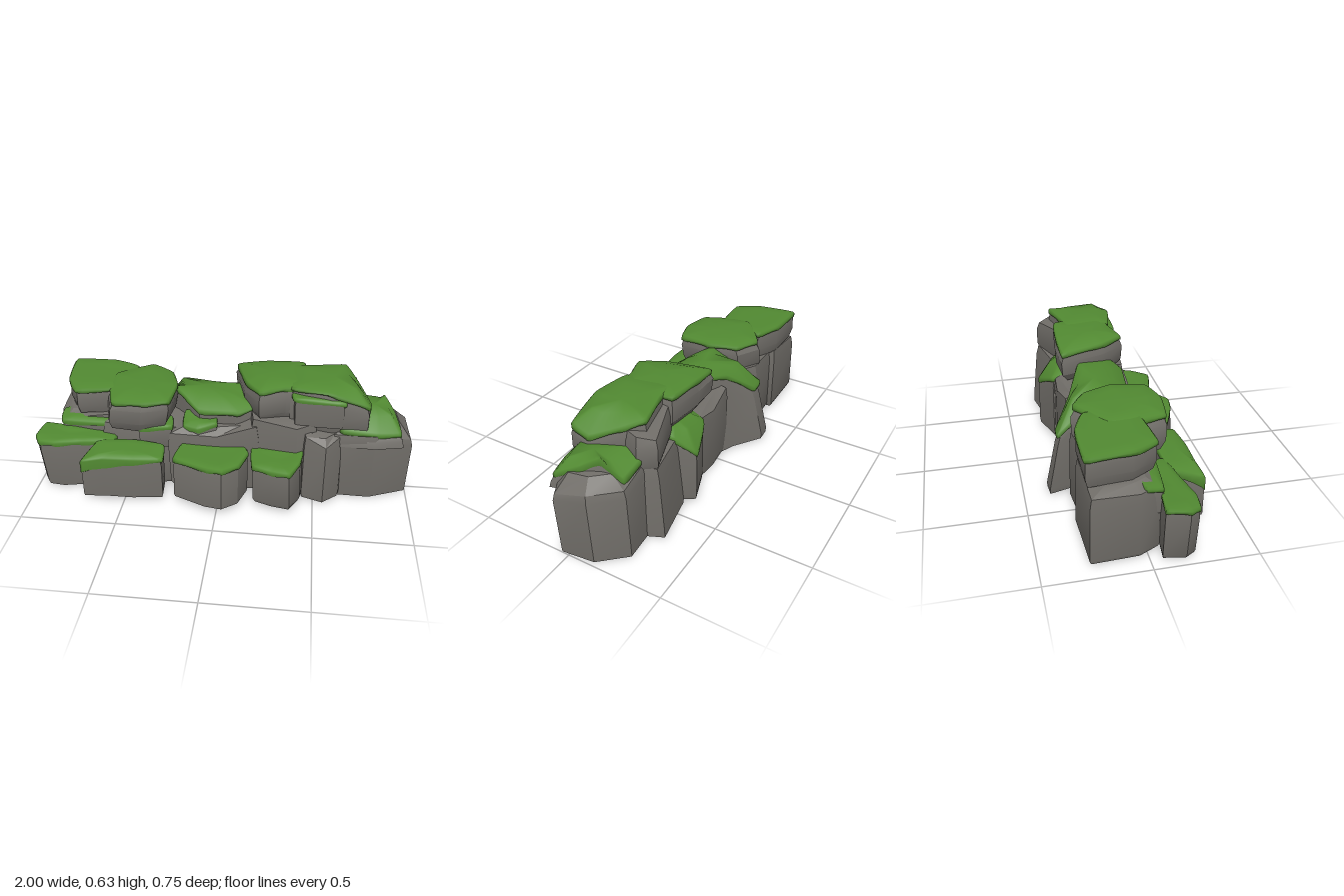
import * as THREE from 'three';
import { toCreasedNormals } from 'three/addons/utils/BufferGeometryUtils.js';

const stone = new THREE.MeshStandardMaterial({ color: 0x716e69 });
stone.name = 'stone grey';
const mossGreen = new THREE.MeshStandardMaterial({ color: 0x528a32 });
mossGreen.name = 'moss green';

const mix = THREE.MathUtils.lerp;

// Skin a stack of loops (bottom to top) and close both ends with fans
function loft(loops, bottom, top) {
  const n = loops[0].length, pos = [], idx = [];
  loops.forEach(l => l.forEach(p => pos.push(...p)));
  pos.push(...bottom, ...top);
  const b = n * loops.length, t = b + 1, last = n * (loops.length - 1);
  for (let i = 0; i < n; i++) {
    const j = (i + 1) % n;
    for (let k = 0; k < loops.length - 1; k++) {
      const o = k * n, u = o + n;
      idx.push(o + i, o + j, u + j, o + i, u + j, u + i);
    }
    idx.push(b, j, i, t, last + i, last + j);
  }
  const geo = new THREE.BufferGeometry();
  geo.setAttribute('position', new THREE.Float32BufferAttribute(pos, 3));
  geo.setIndex(idx);
  geo.computeVertexNormals();
  return geo;
}

// Outline points are [x, z, top height, moss droop]
function boulder(name, outline, y0, opts = {}) {
  const { sections = [[0, 0.93], [0.06, 0.97], [0.82, 1], [1, 0.95]], lean = [0, 0], moss = true } = opts;
  const n = outline.length;
  let area = 0;
  outline.forEach((p, i) => {
    const q = outline[(i + 1) % n];
    area += p[1] * q[0] - p[0] * q[1];
  });
  const pts = area > 0 ? outline : [...outline].reverse();
  const mean = k => pts.reduce((s, p) => s + p[k], 0) / n;
  const cx = mean(0), cz = mean(1), crown = opts.crown ?? mean(2);
  const at = (p, s, y, k = 0) => [cx + (p[0] - cx) * s + lean[0] * k, y, cz + (p[1] - cz) * s + lean[1] * k];

  const group = new THREE.Group();
  group.name = name;

  // Stone body, leaning outwards at its foot
  const loops = sections.map(([t, s]) => pts.map(p => at(p, s, mix(y0, p[2] - 0.014, t), 1 - t)));
  loops.push(pts.map(p => at(p, 0.6, mix(p[2], crown, 0.8) - 0.014)));
  const body = new THREE.Mesh(
    toCreasedNormals(loft(loops, [cx + lean[0], y0, cz + lean[1]], [cx, crown - 0.014, cz]), 0.45), stone);
  body.name = name + 'Stone';
  group.add(body);

  // Soft moss cap with a drooping edge
  if (moss) {
    const curve = new THREE.CatmullRomCurve3(pts.map(p => new THREE.Vector3(p[0], p[2], p[1])), true, 'catmullrom', 0.15);
    const fine = [];
    for (let i = 0; i < n * 5; i++) {
      const v = curve.getPoint(i / (n * 5)), f = (i % 5) / 5;
      const a = pts[Math.floor(i / 5)], c = pts[(Math.floor(i / 5) + 1) % n];
      const droop = mix(a[3] ?? 0.026, c[3] ?? 0.026, f) + 0.004 * Math.sin(i * 1.3);
      fine.push([v.x, v.z, v.y, droop]);
    }
    const rim = [
      fine.map(p => at(p, 0.96, p[2] - p[3])),
      fine.map(p => at(p, 1.02, p[2] - p[3])),
      fine.map(p => at(p, 1.02, p[2] - 0.01)),
      fine.map(p => at(p, 0.97, p[2])),
      fine.map(p => at(p, 0.6, mix(p[2], crown, 0.8))),
    ];
    const cap = new THREE.Mesh(loft(rim, [cx, crown - 0.03, cz], [cx, crown, cz]), mossGreen);
    cap.name = name + 'Moss';
    group.add(cap);
  }
  return group;
}

export function createModel() {
  const model = new THREE.Group();
  model.name = 'mossyRocks';
  const add = (...a) => model.add(boulder(...a));
  const bare = { moss: false };
  const wideFoot = { moss: false, sections: [[0, 0.98], [0.05, 1.02], [0.85, 1], [1, 0.95]] };

  // Low row of stones along the front
  add('frontFarRightRock', [[-0.995, 0.16, 0.3], [-0.975, 0.05, 0.31], [-0.8, 0.07, 0.31], [-0.58, 0.05, 0.3],
    [-0.57, 0.16, 0.29], [-0.74, 0.19, 0.29], [-0.88, 0.22, 0.29], [-0.965, 0.21, 0.29]], 0.01, { lean: [0.02, 0] });
  add('frontRightRock', [[-0.71, 0.32, 0.255, 0.07], [-0.65, 0.16, 0.29], [-0.45, 0.15, 0.295], [-0.3, 0.17, 0.29],
    [-0.29, 0.29, 0.275, 0.02], [-0.45, 0.31, 0.275, 0.04], [-0.6, 0.31, 0.27, 0.065]], 0.03,
  { crown: 0.29, sections: [[0, 0.98], [0.06, 1], [0.85, 1], [1, 0.96]] });
  add('frontMiddleRock', [[-0.23, 0.27, 0.275], [-0.19, 0.1, 0.285], [0.1, 0.1, 0.285], [0.15, 0.18, 0.28],
    [0.11, 0.3, 0.275], [0.03, 0.36, 0.275], [-0.06, 0.345, 0.275]], 0.04,
  { sections: [[0, 0.98], [0.05, 1], [0.85, 1], [1, 0.96]], lean: [0, 0.015] });
  add('frontLeftRock', [[0.18, 0.28, 0.265], [0.17, 0.12, 0.28], [0.43, 0.12, 0.285], [0.42, 0.24, 0.275],
    [0.37, 0.335, 0.262], [0.27, 0.315, 0.26]], 0.035, { lean: [0.01, 0], sections: [[0, 0.93], [0.1, 1.02], [0.8, 1], [1, 0.95]] });

  // Tall base stones, from the right end to the left end
  add('rightBase', [[-0.92, -0.27, 0.37], [-0.62, -0.28, 0.4], [-0.58, 0.06, 0.4], [-0.86, 0.06, 0.36],
    [-0.91, -0.04, 0.36]], 0.01, { ...wideFoot, crown: 0.4 });
  add('rightLedge', [[-0.88, -0.02, 0.37], [-0.62, -0.06, 0.39], [-0.6, 0.09, 0.355], [-0.87, 0.07, 0.345]], 0.2, {});
  add('rightInnerBase', [[-0.66, -0.25, 0.39], [-0.4, -0.27, 0.41], [-0.24, -0.18, 0.41], [-0.2, 0.1, 0.37],
    [-0.4, 0.14, 0.37], [-0.64, 0.1, 0.37]], 0.01, { ...wideFoot, crown: 0.4 });
  add('rightInnerLedge', [[-0.44, 0.06, 0.39], [-0.27, 0.04, 0.39], [-0.26, 0.13, 0.38], [-0.43, 0.155, 0.375]], 0.25, {});
  add('middleBase', [[-0.34, -0.31, 0.36, 0.03], [-0.27, -0.315, 0.35, 0.03], [-0.13, -0.22, 0.46], [0.1, -0.13, 0.52],
    [0.17, 0.05, 0.49], [0.08, 0.1, 0.47], [-0.12, 0.08, 0.46], [-0.2, 0.01, 0.5], [-0.27, -0.06, 0.52]], 0.01,
  { crown: 0.52, lean: [0, -0.04], sections: [[0, 1.08], [0.08, 1.1], [0.8, 1], [1, 0.94]] });
  add('middleBackBase', [[-0.1, -0.24, 0.42], [0.08, -0.26, 0.38], [0.24, -0.25, 0.4], [0.24, 0, 0.46],
    [-0.1, 0, 0.46]], 0.015, wideFoot);
  add('middleStep', [[-0.2, 0.02, 0.42], [-0.04, 0.02, 0.42], [-0.02, 0.12, 0.41], [-0.12, 0.14, 0.38, 0.03],
    [-0.2, 0.11, 0.38, 0.03]], 0.34, {});
  add('middleFootRock', [[-0.28, -0.1, 0.4], [0.2, -0.1, 0.48], [0.2, 0.14, 0.42], [-0.02, 0.15, 0.35], [-0.28, 0.14, 0.35]], 0.015, bare);
  add('leftInnerBase', [[0.12, -0.14, 0.47], [0.5, -0.16, 0.47], [0.5, 0.12, 0.45], [0.4, 0.16, 0.43],
    [0.16, 0.13, 0.46]], 0.01, bare);
  add('leftFrontBase', [[0.4, 0.02, 0.44], [0.66, 0.02, 0.44], [0.63, 0.13, 0.39], [0.55, 0.2, 0.35],
    [0.44, 0.16, 0.39]], 0.01, { moss: false, lean: [0, 0.015], sections: wideFoot.sections });
  add('leftBackBase', [[0.2, -0.26, 0.39], [0.37, -0.32, 0.315, 0.03], [0.44, -0.22, 0.41], [0.45, 0, 0.45],
    [0.17, 0, 0.45]], 0.015, { crown: 0.44, sections: [[0, 0.99], [0.1, 1.02], [0.85, 1], [1, 0.95]] });
  add('leftBackShoulder', [[0.42, -0.24, 0.4], [0.67, -0.29, 0.4], [0.72, -0.18, 0.42], [0.66, 0, 0.44],
    [0.42, 0, 0.44]], 0, { moss: false, lean: [0, -0.025], sections: [[0, 1.05], [0.1, 1.06], [0.85, 1], [1, 0.93]] });
  add('leftBase', [[0.58, 0.14, 0.4], [0.6, -0.22, 0.43], [0.86, -0.24, 0.39], [0.98, -0.11, 0.39],
    [1, 0.06, 0.35], [0.8, 0.145, 0.4]], 0,
  { moss: false, crown: 0.46, lean: [0, -0.02], sections: [[0, 0.98], [0.05, 0.99], [0.9, 1], [1, 0.95]] });
  add('leftRidge', [[0.62, 0.12, 0.42], [0.8, 0.13, 0.405], [0.93, 0.1, 0.4], [0.9, -0.02, 0.46, 0.035],
    [0.85, -0.11, 0.505, 0.04], [0.83, -0.21, 0.425, 0.04], [0.62, -0.21, 0.46]], 0.32,
  { crown: 0.49, sections: [[0, 1.13], [0.5, 1.08], [0.85, 1], [1, 0.95]] });

  // Upper slabs on the right
  add('rightUpperRock', [[-0.87, -0.28, 0.545], [-0.64, -0.28, 0.55], [-0.5, -0.22, 0.55], [-0.5, 0.02, 0.545],
    [-0.78, 0.06, 0.535], [-0.85, -0.06, 0.54]], 0.38, { sections: [[0, 0.92], [0.35, 1], [0.8, 0.99], [1, 0.95]] });
  add('rightUpperSlab', [[-0.6, -0.12, 0.55], [-0.42, -0.25, 0.55], [-0.3, -0.18, 0.545], [-0.25, -0.03, 0.55],
    [-0.27, 0.14, 0.54], [-0.4, 0.18, 0.54], [-0.56, 0.16, 0.53], [-0.6, 0.03, 0.54]], 0.35,
  { crown: 0.555, lean: [-0.03, -0.01], sections: [[0, 0.92], [0.3, 1.04], [0.75, 1.05], [1, 0.95]] });

  // Upper boulders on the left
  add('leftUpperBackRock', [[0.42, -0.2, 0.58], [0.66, -0.28, 0.55], [0.71, -0.2, 0.57], [0.66, -0.02, 0.59],
    [0.42, -0.02, 0.6]], 0.36, { moss: false, sections: [[0, 0.92], [0.25, 1.04], [0.75, 1.04], [1, 0.93]] });
  add('leftUpperRock', [[0.06, -0.22, 0.595], [0.22, -0.23, 0.615], [0.42, -0.21, 0.625], [0.45, 0.06, 0.625],
    [0.33, 0.08, 0.62], [0.2, 0.12, 0.61], [0.12, 0, 0.605]], 0.42,
  { crown: 0.63, sections: [[0, 0.85], [0.28, 1.03], [0.72, 1.06], [1, 0.95]] });
  add('leftUpperSlab', [[0.36, -0.15, 0.63], [0.46, -0.17, 0.63], [0.64, -0.21, 0.625], [0.7, -0.12, 0.585],
    [0.765, 0.02, 0.53, 0.03], [0.75, 0.12, 0.56, 0.03], [0.56, 0.125, 0.62, 0.02], [0.36, 0.08, 0.625, 0.02]], 0.37,
  { crown: 0.635, sections: [[0, 0.92], [0.3, 1.03], [0.75, 1.03], [1, 0.95]] });
  add('leftUpperLedge', [[0.37, 0.06, 0.59], [0.63, 0.06, 0.585], [0.63, 0.135, 0.57, 0.02], [0.38, 0.125, 0.58, 0.02]], 0.42, {});

  return model;
}
